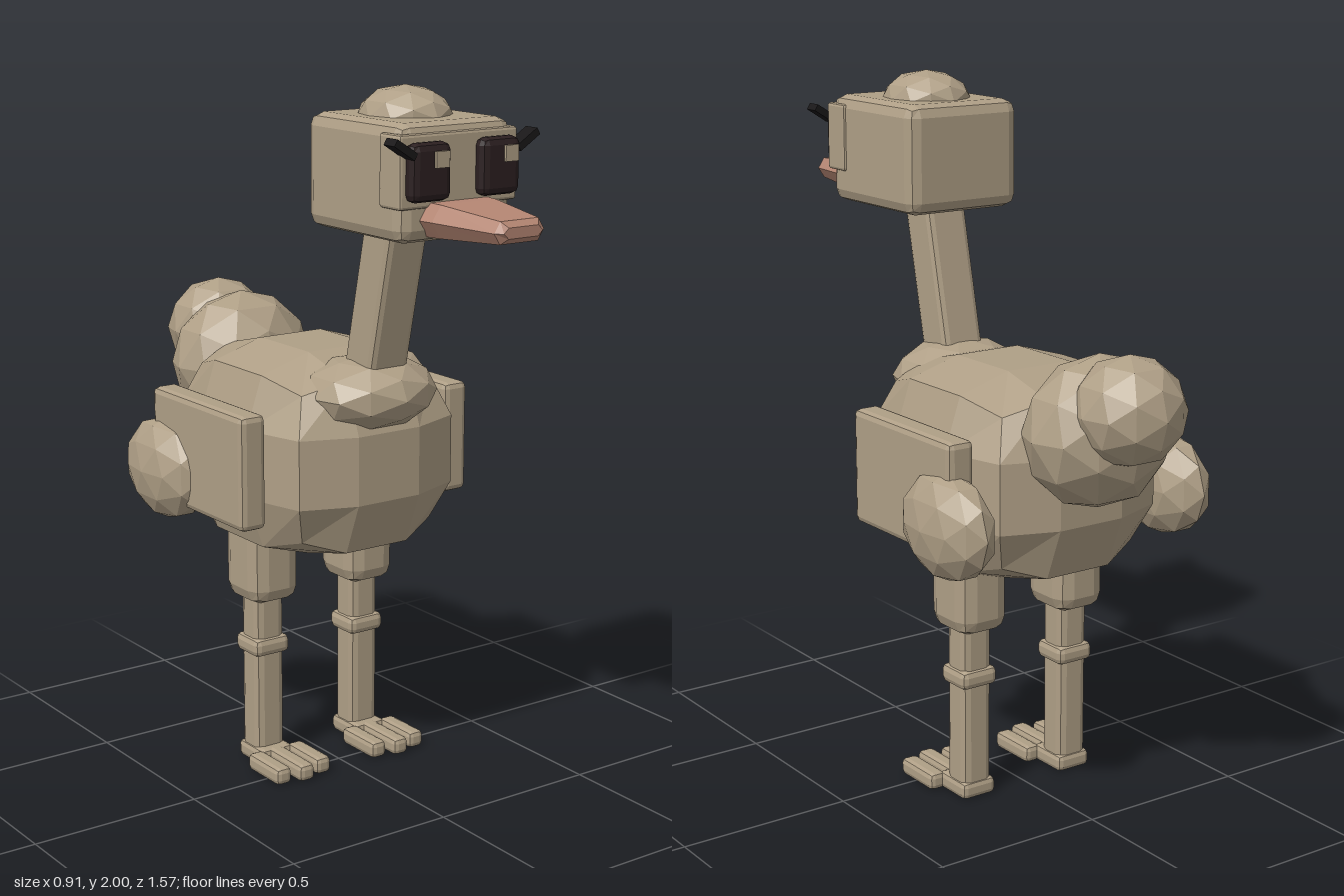
import * as THREE from 'three';
import { RoundedBoxGeometry } from 'three/addons/geometries/RoundedBoxGeometry.js';

export function createModel() {
  const model = new THREE.Group();
  model.name = 'longNeckedBird';
  const paint = (name, color) => {
    const m = new THREE.MeshStandardMaterial({ color, flatShading: true });
    m.name = name;
    return m;
  };
  const tan = paint('tanFeather', 0xaf9f86);
  const pink = paint('pinkBeak', 0xb58673);
  const dark = paint('darkEye', 0x2b1f20);
  const black = paint('blackLash', 0x191718);

  const add = (name, geometry, material, x, y, z, parent = model) => {
    const mesh = new THREE.Mesh(geometry, material);
    mesh.name = name;
    mesh.position.set(x, y, z);
    parent.add(mesh);
    return mesh;
  };
  // Box with single-step chamfered edges
  const bevelBox = (w, h, d, r) => new RoundedBoxGeometry(w, h, d, 1, r);
  // Faceted ellipsoid tuft
  const tuft = (rx, ry, rz) => new THREE.IcosahedronGeometry(1, 1).scale(rx, ry, rz);

  // Body: a 3x3x3 box with edges and corners pulled inward
  const bodyGeo = new THREE.BoxGeometry(2, 2, 2, 3, 3, 3);
  const pos = bodyGeo.attributes.position;
  const v = new THREE.Vector3();
  for (let i = 0; i < pos.count; i++) {
    v.fromBufferAttribute(pos, i);
    const extremes = [v.x, v.y, v.z].filter((c) => Math.abs(c) > 0.9).length;
    const k = [1, 1, 0.84, 0.71][extremes];
    for (const axis of ['x', 'y', 'z']) if (Math.abs(v[axis]) > 0.9) v[axis] *= k;
    pos.setXYZ(i, v.x * 0.31, v.y * 0.293, v.z * 0.36);
  }
  add('body', bodyGeo, tan, 0, 0.952, -0.12);

  // Tail tufts
  add('tailLower', tuft(0.22, 0.21, 0.175), tan, 0, 1.12, -0.505);
  add('tailUpper', tuft(0.155, 0.15, 0.155), tan, 0, 1.2, -0.63);

  // Neck and its collar
  add('neckCollar', tuft(0.195, 0.105, 0.175), tan, 0, 1.15, 0.145);
  const neck = add('neck', bevelBox(0.13, 0.54, 0.125, 0.018), tan, 0, 1.43, 0.22);
  neck.rotation.x = 0.22;

  // Head
  add('head', bevelBox(0.365, 0.305, 0.42, 0.035), tan, 0, 1.772, 0.315);
  add('headTuft', tuft(0.12, 0.08, 0.14), tan, 0, 1.92, 0.3);
  add('facePlate', bevelBox(0.38, 0.19, 0.09, 0.008), tan, 0, 1.805, 0.486);

  // Eyes with highlights and lashes
  for (const s of [-1, 1]) {
    add('eye', bevelBox(0.125, 0.15, 0.05, 0.02), dark, s * 0.112, 1.805, 0.543);
    add('eyeHighlight', new THREE.BoxGeometry(0.042, 0.042, 0.009), tan, s * 0.112 + 0.025, 1.838, 0.571);
    const lash = add('eyelash', new THREE.BoxGeometry(0.075, 0.02, 0.045), black, s * 0.198, 1.868, 0.545);
    lash.rotation.z = s * 0.56;
  }

  // Beak: tapered flat hexagonal tube with a chamfered tip
  const rings = [
    { z: 0.5, y: 1.68, w: 0.125, h: 0.045 },
    { z: 0.57, y: 1.68, w: 0.118, h: 0.043 },
    { z: 0.77, y: 1.675, w: 0.08, h: 0.029 },
    { z: 0.787, y: 1.675, w: 0.062, h: 0.014 },
  ];
  const outline = [[1, 0], [0.76, 1], [-0.76, 1], [-1, 0], [-0.76, -1], [0.76, -1]];
  const verts = [];
  const faces = [];
  for (const r of rings) for (const [a, b] of outline) verts.push(a * r.w, r.y + b * r.h, r.z);
  const n = outline.length;
  for (let r = 0; r < rings.length - 1; r++) {
    for (let i = 0; i < n; i++) {
      const a = r * n + i, b = r * n + (i + 1) % n;
      faces.push(a, b, b + n, a, b + n, a + n);
    }
  }
  const tip = (rings.length - 1) * n;
  for (let i = 1; i < n - 1; i++) faces.push(tip, tip + i, tip + i + 1, 0, i + 1, i);
  const beakGeo = new THREE.BufferGeometry();
  beakGeo.setAttribute('position', new THREE.Float32BufferAttribute(verts, 3));
  beakGeo.setIndex(faces);
  beakGeo.computeVertexNormals();
  add('beak', beakGeo, pink, 0, 0, 0);

  // Wings and legs on both sides
  for (const s of [-1, 1]) {
    const side = s > 0 ? 'left' : 'right';
    add(side + 'Wing', bevelBox(0.082, 0.325, 0.47, 0.018), tan, s * 0.348, 0.952, -0.141);
    add(side + 'WingTuft', tuft(0.09, 0.15, 0.182), tan, s * 0.365, 0.88, -0.335);

    const leg = new THREE.Group();
    leg.name = side + 'Leg';
    leg.position.set(s * 0.168, 0, -0.147);
    model.add(leg);
    add('thigh', bevelBox(0.16, 0.26, 0.18, 0.045), tan, 0, 0.63, 0, leg);
    add('shin', bevelBox(0.095, 0.52, 0.092, 0.022), tan, 0, 0.28, 0, leg);
    add('knee', bevelBox(0.118, 0.055, 0.116, 0.018), tan, 0, 0.363, 0, leg);
    add('heel', bevelBox(0.11, 0.05, 0.13, 0.015), tan, 0, 0.03, 0.012, leg);
    for (const t of [-1, 0, 1]) {
      const length = t ? 0.16 : 0.19;
      add('toe', bevelBox(0.052, 0.05, length, 0.015), tan, t * 0.068, 0.03, (t ? 0.215 : 0.232) - length / 2, leg);
    }
  }
  // Rest the feet on the ground
  model.children.forEach((part) => { part.position.y -= 0.005; });
  return model;
}
